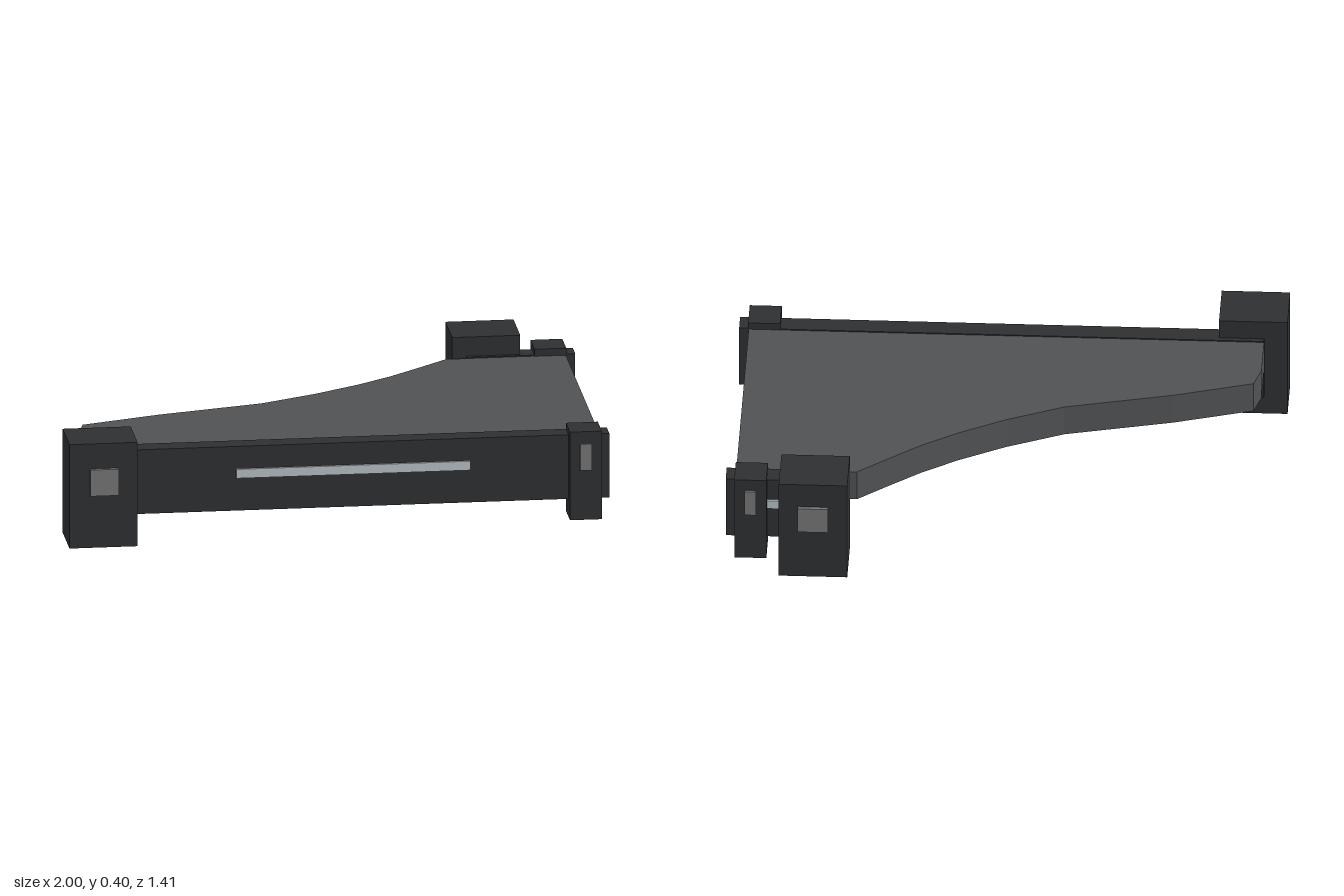
import * as THREE from 'three';

const dark = new THREE.MeshStandardMaterial({ color: 0x2e3032 });
const deckGrey = new THREE.MeshStandardMaterial({ color: 0x505254 });
const panelGrey = new THREE.MeshStandardMaterial({ color: 0x777777 });
const pale = new THREE.MeshStandardMaterial({ color: 0xb8c2c8 });

// Box given by its extents along each axis
function block(name, [x0, x1], [y0, y1], [z0, z1], material) {
  const mesh = new THREE.Mesh(new THREE.BoxGeometry(x1 - x0, y1 - y0, Math.abs(z1 - z0)), material);
  mesh.position.set((x0 + x1) / 2, (y0 + y1) / 2, (z0 + z1) / 2);
  mesh.name = name;
  return mesh;
}

// Upright post with a small panel on its outer face; side is +1 front, -1 back
function post(name, side, x, y, z, panelX, panelDepth) {
  const group = new THREE.Group();
  group.name = name;
  group.add(
    block('postBody', x, y, z.map((v) => v * side), dark),
    block('postPanel', panelX, [0.2, 0.3], [(z[1] - 0.02) * side, (z[1] + panelDepth) * side], panelGrey),
  );
  return group;
}

export function createModel() {
  const model = new THREE.Group();

  // Deck with a sweeping faceted rear edge, points as (x, z)
  const outline = [
    [-0.915, 0.472], [-0.915, 0.28], [-0.89, 0.19], [-0.6, 0.097], [-0.21, 0], [0, -0.097],
    [0.17, -0.195], [0.3, -0.285], [0.42, -0.385], [0.525, -0.475], [0.965, -0.475], [0.965, 0.472],
  ];
  const shape = new THREE.Shape(outline.map(([x, z]) => new THREE.Vector2(x, -z)));
  const deckGeometry = new THREE.ExtrudeGeometry(shape, { depth: 0.118, bevelEnabled: false });
  deckGeometry.rotateX(-Math.PI / 2);
  const deck = new THREE.Mesh(deckGeometry, deckGrey);
  deck.position.y = 0.2;
  deck.name = 'deck';
  model.add(deck);

  // Side beams with pale light strips
  model.add(
    block('frontBeam', [-0.915, 1], [0.078, 0.322], [0.47, 0.545], dark),
    block('frontStrip', [-0.37, 0.49], [0.203, 0.237], [0.535, 0.554], pale),
    block('backBeam', [0.6, 1], [0.078, 0.322], [-0.55, -0.475], dark),
    block('backStrip', [0.71, 0.89], [0.203, 0.237], [-0.559, -0.54], pale),
  );

  // Box slung beneath the deck
  model.add(block('underBox', [0.68, 0.945], [0.023, 0.192], [-0.22, 0.22], dark));

  // Large and small posts
  const tall = [0, 0.395], low = [0.01, 0.345];
  model.add(
    post('frontLargePost', 1, [-1, -0.75], tall, [0.488, 0.692], [-0.925, -0.82], 0.015),
    post('backLargePost', -1, [0.55, 0.8], tall, [0.49, 0.692], [0.62, 0.73], 0.015),
    post('frontSmallPost', 1, [0.85, 0.967], low, [0.47, 0.59], [0.887, 0.93], 0.01),
    post('backSmallPost', -1, [0.85, 0.967], low, [0.472, 0.592], [0.887, 0.93], 0.01),
  );
  return model;
}
